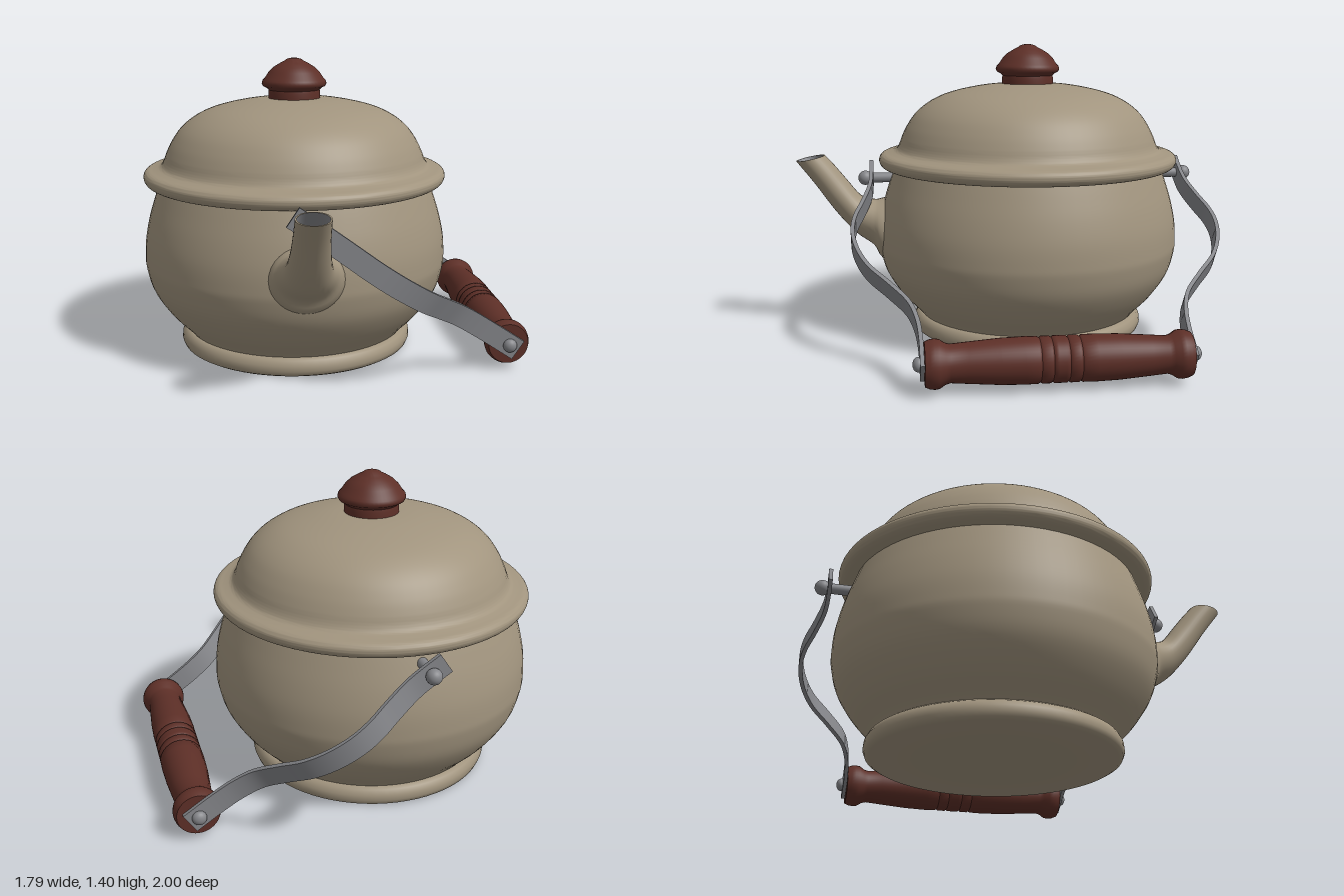
import * as THREE from 'three';
import { toCreasedNormals } from 'three/addons/utils/BufferGeometryUtils.js';

const enamel = new THREE.MeshStandardMaterial({ color: 0xa1947e });
enamel.name = 'enamel';
const wood = new THREE.MeshStandardMaterial({ color: 0x5d2f27 });
wood.name = 'wood';
const metal = new THREE.MeshStandardMaterial({ color: 0x85868a });
metal.name = 'metal';

const v2 = (p) => new THREE.Vector2(p[0], p[1]);

function add(parent, name, geometry, material) {
  const mesh = new THREE.Mesh(geometry, material);
  mesh.name = name;
  parent.add(mesh);
  return mesh;
}

// Turned part from [radius, height] points listed bottom to top
function turned(points, segments = 72, smooth = 0) {
  let pts = points.map(v2);
  if (smooth) pts = new THREE.SplineCurve(pts).getPoints(smooth);
  pts.forEach((p) => { p.x = Math.max(p.x, 0); });
  return toCreasedNormals(new THREE.LatheGeometry(pts, segments), 0.75);
}

// Skin through oval rings: [upperZ, upperY, lowerZ, lowerY, halfWidth]
function ovalTube(rings, inward) {
  const n = 32;
  const curves = [0, 1, 2, 3, 4].map((k) =>
    new THREE.SplineCurve(rings.map((r, i) => new THREE.Vector2(i, r[k]))));
  const steps = (rings.length - 1) * 4;
  const pos = [], index = [];
  for (let i = 0; i <= steps; i++) {
    const [uz, uy, lz, ly, w] = curves.map((c) => c.getPoint(i / steps).y);
    for (let j = 0; j < n; j++) {
      const a = (j / n) * Math.PI * 2, c = Math.cos(a) / 2;
      pos.push(Math.sin(a) * w, (uy + ly) / 2 + c * (uy - ly), (uz + lz) / 2 + c * (uz - lz));
      if (i === steps) continue;
      const p = i * n + j, q = i * n + (j + 1) % n;
      if (inward) index.push(p, q, p + n, q, q + n, p + n);
      else index.push(p, p + n, q, q, p + n, q + n);
    }
  }
  const g = new THREE.BufferGeometry();
  g.setAttribute('position', new THREE.Float32BufferAttribute(pos, 3));
  g.setIndex(index);
  g.computeVertexNormals();
  return g;
}

// Flat bar bent along a curve in the x-z plane
function strap(curve, width, thickness, side) {
  const g = new THREE.BoxGeometry(1, width, thickness, 60, 1, 1);
  const p = g.attributes.position;
  for (let i = 0; i < p.count; i++) {
    const t = THREE.MathUtils.clamp(p.getX(i) + 0.5, 0, 1);
    const c = curve.getPointAt(t), d = curve.getTangentAt(t), o = p.getZ(i);
    // side mirrors the bend without flipping the faces
    p.setXYZ(i, c.x - side * d.z * o, p.getY(i), side * c.z + d.x * o);
  }
  g.computeVertexNormals();
  return g;
}

export function createModel() {
  const model = new THREE.Group();
  model.name = 'kettle';
  const kettle = new THREE.Group();
  kettle.name = 'kettleParts';
  kettle.position.set(-0.158, 0, -0.133);
  model.add(kettle);

  // Pot
  add(kettle, 'baseRing', turned([[0, 0], [0.545, 0], [0.562, 0.01], [0.57, 0.03], [0.568, 0.055],
    [0.556, 0.078], [0.54, 0.088], [0.5, 0.09]]), enamel);
  add(kettle, 'body', turned([[0.525, 0.075], [0.555, 0.11], [0.635, 0.195], [0.703, 0.3], [0.732, 0.4],
    [0.736, 0.46], [0.73, 0.55], [0.709, 0.65], [0.678, 0.75], [0.65, 0.83]], 72, 40), enamel);

  // Lid: rolled rim flowing into the dome
  add(kettle, 'lid', turned([[0.62, 0.815], [0.67, 0.805], [0.70, 0.808], [0.722, 0.82], [0.732, 0.842],
    [0.728, 0.862], [0.712, 0.876], [0.68, 0.884], [0.65, 0.895], [0.633, 0.92], [0.62, 0.955],
    [0.593, 1.01], [0.55, 1.07], [0.49, 1.12], [0.41, 1.16], [0.3, 1.19], [0.17, 1.21], [0, 1.216]],
  72, 90), enamel);
  add(kettle, 'lidKnob', turned([[0.125, 1.205], [0.125, 1.24], [0.123, 1.252], [0.135, 1.263], [0.15, 1.27],
    [0.156, 1.283], [0.152, 1.297], [0.142, 1.307], [0.122, 1.337], [0.098, 1.36], [0.065, 1.38],
    [0.048, 1.388], [0.036, 1.397], [0.02, 1.402], [0, 1.403]], 48), wood);

  // Spout, with z measured from the pot axis
  const rings = [[0.56, 0.70, 0.62, 0.30, 0.18], [0.715, 0.655, 0.725, 0.36, 0.165],
    [0.765, 0.65, 0.765, 0.425, 0.135], [0.825, 0.672, 0.85, 0.488, 0.103],
    [0.89, 0.75, 0.945, 0.595, 0.085], [0.945, 0.818, 1.045, 0.735, 0.077],
    [0.993, 0.872, 1.13, 0.845, 0.074]];
  // Shrink rings about their centres for the lining
  const shrink = ([uz, uy, lz, ly, w], k) => {
    const z = (uz + lz) / 2, y = (uy + ly) / 2;
    return [z + (uz - z) * k, y + (uy - y) * k, z + (lz - z) * k, y + (ly - y) * k, w * k];
  };
  const spout = new THREE.Group();
  spout.name = 'spout';
  kettle.add(spout);
  const tip = rings[rings.length - 1];
  add(spout, 'spoutOuter', ovalTube(rings), enamel);
  add(spout, 'spoutLip', ovalTube([tip, shrink(tip, 0.9)]), enamel);
  add(spout, 'spoutLining', ovalTube(rings.slice(1).map((r) => shrink(r, 0.9)), true), metal);

  // Swinging handle, hinged on both sides of the pot
  const handle = new THREE.Group();
  handle.name = 'handle';
  handle.position.y = 0.757;
  handle.rotation.z = Math.atan2(-0.632, 0.945);
  kettle.add(handle);
  const reach = 1.137;
  const bend = new THREE.CatmullRomCurve3([[-0.062, 0.77], [0, 0.77], [0.08, 0.777], [0.18, 0.812],
    [0.26, 0.846], [0.335, 0.857], [0.425, 0.838], [0.515, 0.787], [0.605, 0.697], [0.695, 0.615],
    [0.775, 0.583], [0.855, 0.572], [0.985, 0.57]].map(([x, z]) => new THREE.Vector3(x * 1.203, 0, z)));

  for (const side of [1, -1]) {
    const end = side > 0 ? 'front' : 'back';
    add(handle, end + 'Strap', strap(bend, 0.1, 0.018, side), metal);
    const post = add(handle, end + 'HingePost', new THREE.CylinderGeometry(0.024, 0.024, 0.2, 20), metal);
    post.rotation.x = Math.PI / 2;
    post.position.z = side * 0.7;
    const ball = add(handle, end + 'HingeBall', new THREE.SphereGeometry(0.035, 24, 16), metal);
    ball.position.z = side * 0.8;
    const rivet = add(handle, end + 'GripRivet', new THREE.SphereGeometry(0.032, 24, 16), metal);
    rivet.scale.z = 0.8;
    rivet.position.set(reach, 0, side * 0.584);
  }

  // Turned grip, mirrored about its middle
  const half = [[0.098, 0.015], [0.098, 0.026], [0.091, 0.034], [0.098, 0.042], [0.098, 0.076],
    [0.092, 0.085], [0.098, 0.094], [0.099, 0.15], [0.096, 0.25], [0.086, 0.38], [0.08, 0.455],
    [0.085, 0.475], [0.101, 0.5], [0.104, 0.52], [0.101, 0.54], [0.093, 0.56], [0, 0.56]];
  const profile = [...half.map(([r, t]) => [r, -t]).reverse(), ...half];
  const grip = add(handle, 'grip', turned(profile, 40), wood);
  grip.rotation.x = Math.PI / 2;
  grip.position.x = reach;

  return model;
}
